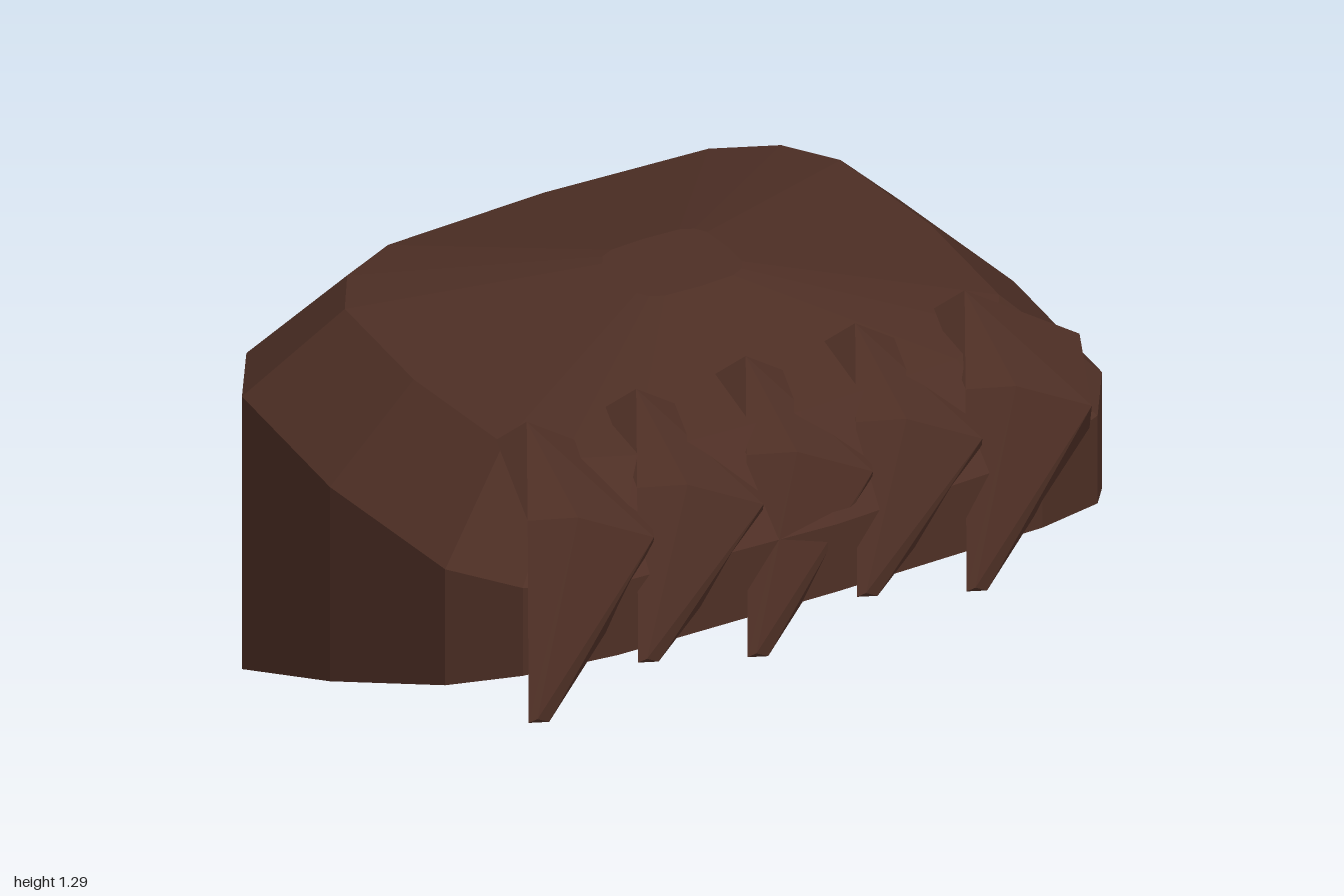
import * as THREE from 'three';
import { ConvexGeometry } from 'three/addons/geometries/ConvexGeometry.js';

const brown = new THREE.MeshStandardMaterial({ color: 0x4e2f25, flatShading: true });
brown.name = 'dark brown hair';

const V = (x, y, z) => new THREE.Vector3(x, y, z);

// Rounded-square outline of 16 points, counter-clockwise seen from above
function outline() {
  const quarter = [[0, 0.81], [0.62, 0.78], [0.84, 0.68], [0.96, 0.5]];
  const side = [...quarter, [1, 0], ...quarter.slice(1).reverse().map(([x, z]) => [x, -z])];
  return [...side, ...side.map(([x, z]) => [-x, -z])];
}

// Cap: stacked outlines over a slanted, closed underside
function capGeometry() {
  const pts = outline();
  const ring = (sx, sz, height) => pts.map(([x, z]) => {
    const pz = z * sz - 0.03;
    return V(x * sx, height(pz), pz);
  });
  const rings = [
    ring(1, 1, z => 0.456 * (z + 0.84)),
    ring(1, 1, () => 0.935),
    ring(0.755, 0.78, () => 1.175),
    ring(0.16, 0.17, () => 1.29),
  ];
  const bottom = V(0, 0.456 * 0.81, -0.03);
  const top = V(0, 1.29, -0.03);
  const tris = [];
  const n = pts.length;
  for (let i = 0; i < n; i++) {
    const j = (i + 1) % n;
    for (let r = 0; r < rings.length - 1; r++) {
      const a = rings[r], b = rings[r + 1];
      tris.push(a[i], a[j], b[j], a[i], b[j], b[i]);
    }
    tris.push(top, rings[3][i], rings[3][j], bottom, rings[0][j], rings[0][i]);
  }
  const geometry = new THREE.BufferGeometry().setFromPoints(tris);
  geometry.computeVertexNormals();
  return geometry;
}

// Fringe lock: a bent spike made of a root block and a tapering tip
function makeLock(drop) {
  const root = [V(0.57, 1.28, 0.45), V(0.9, 1.06, 0.46), V(0.6, 0.98, 0.46), V(0.51, 1.22, 0.4)];
  const bend = [V(0.46, 1.12, 0.64), V(0.56, 1.14, 0.72), V(0.77, 1.03, 0.74),
    V(0.81, 0.91, 0.66), V(0.55, 0.92, 0.6)];
  const tip = [V(0.35, 0.66, 0.83), V(0.37, 0.67, 0.84), V(0.41, 0.645, 0.83), V(0.39, 0.635, 0.79)];
  tip.forEach(p => { p.y += drop; });
  const lock = new THREE.Group();
  [['lockRoot', root, bend], ['lockTip', bend, tip]].forEach(([name, a, b]) => {
    const mesh = new THREE.Mesh(new ConvexGeometry([...a, ...b]), brown);
    mesh.name = name;
    lock.add(mesh);
  });
  return lock;
}

export function createModel() {
  const model = new THREE.Group();
  model.name = 'hair';

  const cap = new THREE.Mesh(capGeometry(), brown);
  cap.name = 'hairCap';
  model.add(cap);

  // Five locks across the front, every second one a little shorter
  for (let i = 0; i < 5; i++) {
    const lock = makeLock(i % 2 ? 0.08 : 0);
    lock.name = 'fringeLock' + (i + 1);
    lock.position.x = -0.32 * i;
    model.add(lock);
  }
  return model;
}
